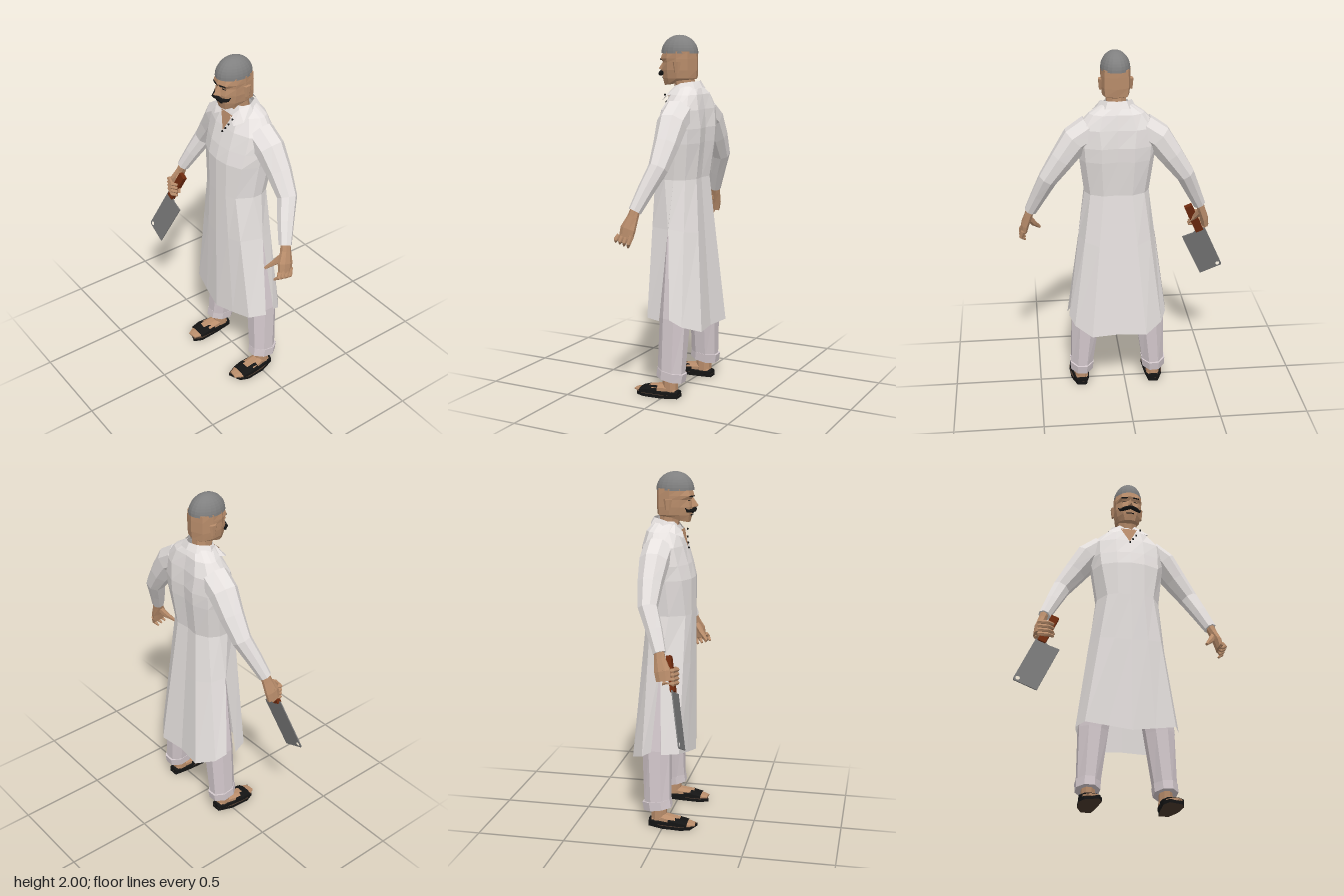
import * as THREE from 'three';
import { ConvexGeometry } from 'three/addons/geometries/ConvexGeometry.js';

const CX = 0.045; // body axis
const mat = (color, side = THREE.FrontSide) => new THREE.MeshStandardMaterial({ color, side, flatShading: true, roughness: 0.9 });
const cloth = mat(0xe6e1df, THREE.DoubleSide);
const trouser = mat(0xd3c8cc, THREE.DoubleSide);
const skin = mat(0xb98d6b, THREE.DoubleSide);
const black = mat(0x141414, THREE.DoubleSide);
const grey = mat(0x808080);
const steel = mat(0x777777);
const wood = mat(0x6e2a0e);
const soleBrown = mat(0x4a382c);

function part(parent, name, geometry, material) {
  const mesh = new THREE.Mesh(geometry, material);
  mesh.name = name;
  parent.add(mesh);
  return mesh;
}

// Skin cross-sections (arrays of Vector3, counter-clockwise about the sweep direction)
function loft(rings, closed = true, caps = true) {
  const out = [];
  const tri = (...ps) => ps.forEach((p) => out.push(p.x, p.y, p.z));
  const n = rings[0].length;
  for (let r = 0; r + 1 < rings.length; r++) {
    for (let i = 0; i < (closed ? n : n - 1); i++) {
      const j = (i + 1) % n, lo = rings[r], hi = rings[r + 1];
      tri(lo[i], lo[j], hi[j]);
      tri(lo[i], hi[j], hi[i]);
    }
  }
  if (caps && closed) {
    const a = rings[0], b = rings[rings.length - 1];
    for (let i = 1; i + 1 < n; i++) { tri(a[0], a[i + 1], a[i]); tri(b[0], b[i], b[i + 1]); }
  }
  const g = new THREE.BufferGeometry();
  g.setAttribute('position', new THREE.Float32BufferAttribute(out, 3));
  g.computeVertexNormals();
  return g;
}

// Faceted tube through [x, y, z, ra, rb] points
function limb(points, sides = 8) {
  const c = points.map((p) => new THREE.Vector3(p[0], p[1], p[2]));
  const rings = points.map(([, , , ra, rb = ra], k) => {
    const d = c[Math.min(k + 1, c.length - 1)].clone().sub(c[Math.max(k - 1, 0)]).normalize();
    const ref = Math.abs(d.z) < 0.8 ? new THREE.Vector3(0, 0, 1) : new THREE.Vector3(1, 0, 0);
    const a = ref.cross(d).normalize(), b = d.clone().cross(a);
    return Array.from({ length: sides }, (_, i) => {
      const t = ((i + 0.5) / sides) * Math.PI * 2;
      return c[k].clone().addScaledVector(a, Math.cos(t) * ra).addScaledVector(b, Math.sin(t) * rb);
    });
  });
  return loft(rings);
}

// Half section [dx, z, y] from front centre round to back centre, mirrored to a full ring
const half = (pts, y) => pts.map(([x, z, py = y]) => new THREE.Vector3(CX + x, py, z));
const flip = (p) => new THREE.Vector3(2 * CX - p.x, p.y, p.z);
const full = (h) => [...h, ...h.slice(1, -1).reverse().map(flip)];
const mirrored = (s, pts) => pts.map(([dx, ...rest]) => [CX + s * dx, ...rest]);

function buildRobe(g) {
  const hem = half([[0, .145, .40], [.13, .122, .425], [.25, .095, .45], [.288, 0, .45],
    [.28, -.06, .46], [.25, -.12, .42], [.155, -.195, .38], [0, -.175, .38]]);
  const waist = half([[0, .14], [.075, .13], [.133, .105], [.18, .02], [.18, -.035], [.15, -.09], [.08, -.125], [0, -.115]], 1.22);
  const slit = waist.map((p, i) => p.clone().lerp(hem[i], 0.35));
  slit[3].z = slit[4].z = -.02;
  const upper = [
    half([[0, .138], [.08, .128], [.165, .09], [.205, .005], [.205, -.06], [.175, -.115], [.09, -.15], [0, -.135]], 1.42),
    half([[0, .117], [.08, .11], [.17, .07], [.22, -.01], [.22, -.07], [.18, -.12], [.09, -.155], [0, -.14]], 1.5),
    half([[0, .08], [.08, .08], [.17, .045], [.22, -.02], [.22, -.07], [.18, -.115], [.1, -.145], [0, -.135]], 1.6),
    half([[0, .05], [.07, .045], [.12, .01], [.15, -.04], [.15, -.07], [.13, -.1], [.08, -.125], [0, -.12]], 1.68),
    half([[0, .03], [.05, .02], [.065, 0], [.07, -.03], [.07, -.05], [.06, -.075], [.04, -.09], [0, -.095]], 1.73),
  ];
  part(g, 'robeBody', loft([slit, waist, ...upper].map(full), true, false), cloth);
  // Front and back skirt panels, parted by side slits
  const front = (h) => [...h.slice(1, 4).reverse().map(flip), ...h.slice(0, 4)];
  const back = (h) => [...h.slice(4), ...h.slice(4, -1).reverse().map(flip)];
  part(g, 'robeFrontPanel', loft([front(hem), front(slit)], false), cloth);
  part(g, 'robeBackPanel', loft([back(hem), back(slit)], false), cloth);
  // Collar, open at the front
  const lower = half([[.085, .085, 1.645], [.122, .045, 1.67], [.11, -.03, 1.695], [.065, -.105, 1.71], [0, -.12, 1.715]]);
  const top = half([[.035, .07, 1.675], [.062, .03, 1.715], [.085, -.025, 1.74], [.05, -.085, 1.75], [0, -.1, 1.75]]);
  const around = (h) => [...h, ...h.slice(0, -1).reverse().map(flip)];
  part(g, 'collar', loft([around(lower), around(top)], false), cloth);
  // Open neckline and buttons
  const v = half([[-.05, .065, 1.685], [0, .093, 1.585], [.05, .065, 1.685]]);
  part(g, 'neckline', loft([[v[0], v[1]], [v[0], v[2]]], false), skin);
  for (const [dx, y, z] of [[.066, 1.675, .078], [.04, 1.635, .083], [.02, 1.605, .09], [.002, 1.58, .097]]) {
    part(g, 'button', new THREE.SphereGeometry(.006, 6, 4), black).position.set(CX + dx, y, z);
  }
}

function buildHead(g) {
  const sections = [
    half([[0, .105, 1.725], [.03, .098, 1.725], [.055, .06, 1.735], [.065, 0, 1.755], [.05, -.06, 1.76], [0, -.07, 1.76]]),
    half([[0, .117], [.04, .105], [.068, .06], [.074, 0], [.06, -.06], [0, -.08]], 1.765),
    half([[0, .122], [.045, .11], [.075, .06], [.08, 0], [.065, -.06], [0, -.085]], 1.81),
    half([[0, .115], [.045, .1], [.076, .06], [.08, 0], [.065, -.06], [0, -.085]], 1.85),
    half([[0, .127], [.052, .112], [.079, .06], [.08, 0], [.065, -.06], [0, -.085]], 1.872),
    half([[0, .115], [.045, .1], [.075, .06], [.08, 0], [.062, -.06], [0, -.083]], 1.91),
  ];
  part(g, 'head', loft(sections.map(full)), skin);
  part(g, 'neck', limb([[CX, 1.63, -.03, .062], [CX, 1.7, -.015, .056], [CX, 1.78, -.005, .058]]), skin);
  const cap = part(g, 'cap', new THREE.SphereGeometry(1, 20, 10, 0, Math.PI * 2, 0, Math.PI / 2), grey);
  cap.scale.set(.082, .1, .107);
  cap.position.set(CX, 1.9, .02);
  part(g, 'nose', new ConvexGeometry(half([[0, .115, 1.868], [0, .152, 1.815], [.02, .115, 1.805],
    [-.02, .115, 1.805], [0, .125, 1.8], [.01, .1, 1.86], [-.01, .1, 1.86]])), skin);
  part(g, 'mouth', new THREE.BoxGeometry(.045, .005, .01), black).position.set(CX, 1.765, .112);
  for (const s of [1, -1]) {
    part(g, 'moustache', limb(mirrored(s, [[0, 1.797, .132, .011], [.035, 1.788, .123, .012],
      [.058, 1.79, .098, .008], [.068, 1.806, .09, .002]]), 6), black);
    part(g, 'eyebrow', limb(mirrored(s, [[.016, 1.866, .123, .004], [.052, 1.868, .112, .004]]), 5), black);
    part(g, 'eye', limb(mirrored(s, [[.02, 1.845, .108, .003], [.044, 1.845, .1, .003]]), 5), black);
    const ear = part(g, 'ear', new THREE.CylinderGeometry(.025, .014, .06, 6), skin);
    ear.scale.x = .5;
    ear.position.set(CX + s * .084, 1.825, -.005);
  }
}

function buildArm(g, s, gripping) {
  part(g, 'sleeve', limb(mirrored(s, [[.14, 1.585, -.045, .085], [.225, 1.53, -.05, .083], [.30, 1.425, -.055, .07],
    [.38, 1.31, -.05, .055], [.43, 1.2, -.005, .046], [.48, 1.09, .035, .036]])), cloth);
  const hand = new THREE.Group();
  hand.name = 'hand';
  g.add(hand);
  part(hand, 'palm', limb(mirrored(s, [[.475, 1.11, .03, .026], [.492, 1.06, .04, .024, .032],
    [.513, 1.0, .058, .024, .046], [.522, .95, .066, .02, .042]])), skin);
  for (let i = 0; i < 4; i++) {
    const z = .03 + i * .025, y = .94 + i * .024;
    const path = gripping
      ? [[.52, y, .06, .015], [.515, y - .005, .115, .014], [.465, y - .01, .128, .012], [.435, y - .01, .11, .008]]
      : [[.524, .965, z, .015], [.538, .925 + i * .006, z + .012, .013], [.515, .9 + i * .008, z + .028, .006]];
    part(hand, 'finger', limb(mirrored(s, path), 6), skin);
  }
  part(hand, 'thumb', limb(mirrored(s, [[.495, 1.04, .05, .02], [.465, .99, .085, .017], [.43, .945, gripping ? .1 : .128, .008]]), 6), skin);
}

function buildLeg(g, s) {
  part(g, 'trouserLeg', limb(mirrored(s, [[.212, .12, -.035, .066, .08], [.185, .45, -.045, .088, .085],
    [.13, .8, -.035, .09, .075], [.09, 1.05, -.03, .09, .07]])), trouser);
  part(g, 'trouserCuff', limb(mirrored(s, [[.213, .105, -.033, .07, .086], [.211, .155, -.041, .073, .087]])), trouser);
  part(g, 'ankle', limb(mirrored(s, [[.212, .03, -.03, .04, .045], [.212, .15, -.025, .038, .045]])), skin);
  part(g, 'foot', limb(mirrored(s, [[.212, .032, -.065, .022, .03], [.215, .045, .0, .032, .042],
    [.222, .036, .09, .024, .052], [.22, .025, .14, .014, .048], [.215, .022, .182, .006, .03]])), skin);
  // Sandal: sole, toe strap and heel band
  const outline = [[.185, -.085], [.24, -.085], [.272, 0], [.28, .11], [.26, .16], [.185, .19], [.162, .14], [.17, .02]];
  const shape = new THREE.Shape(outline.map(([x, z]) => new THREE.Vector2(CX + s * x, z)));
  const sole = new THREE.ExtrudeGeometry(shape, { depth: .018, bevelEnabled: false }).rotateX(Math.PI / 2).translate(0, .018, 0);
  part(g, 'sandalSole', sole, [soleBrown, black]);
  part(g, 'sandalStrap', limb(mirrored(s, [[.219, .034, .035, .032, .056], [.222, .032, .09, .028, .06], [.221, .025, .14, .019, .055]])), black);
  part(g, 'sandalHeel', limb(mirrored(s, [[.212, .024, -.084, .02, .03], [.213, .026, -.04, .02, .048], [.217, .026, .04, .02, .055]])), black);
}

function buildCleaver(g) {
  const cleaver = new THREE.Group();
  cleaver.name = 'cleaver';
  const shape = new THREE.Shape([[0, 0], [.06, 0], [.075, -.008], [.144, -.004], [.142, -.31], [.006, -.31], [0, -.3]]
    .map((p) => new THREE.Vector2(...p)));
  shape.holes.push(new THREE.Path().absarc(.021, -.289, .012, 0, Math.PI * 2, true));
  part(cleaver, 'blade', new THREE.ExtrudeGeometry(shape, { depth: .006, bevelEnabled: false, curveSegments: 8 }), steel);
  part(cleaver, 'cleaverHandle', new THREE.BoxGeometry(.046, .195, .026), wood).position.set(.035, .09, .003);
  // Blade plane: u across, w up towards the handle
  const u = new THREE.Vector3(.132, -.057, .008).normalize();
  const n = u.clone().cross(new THREE.Vector3(.122, .277, -.063)).normalize();
  cleaver.quaternion.setFromRotationMatrix(new THREE.Matrix4().makeBasis(u, n.clone().cross(u), n));
  cleaver.position.set(-.485, .907, .108);
  g.add(cleaver);
}

export function createModel() {
  const model = new THREE.Group();
  model.name = 'figure';
  const group = (name, build, ...args) => {
    const g = new THREE.Group();
    g.name = name;
    build(g, ...args);
    model.add(g);
  };
  group('robe', buildRobe);
  group('headGroup', buildHead);
  group('leftArm', buildArm, 1, false);
  group('rightArm', buildArm, -1, true);
  group('leftLeg', buildLeg, 1);
  group('rightLeg', buildLeg, -1);
  buildCleaver(model);
  return model;
}
